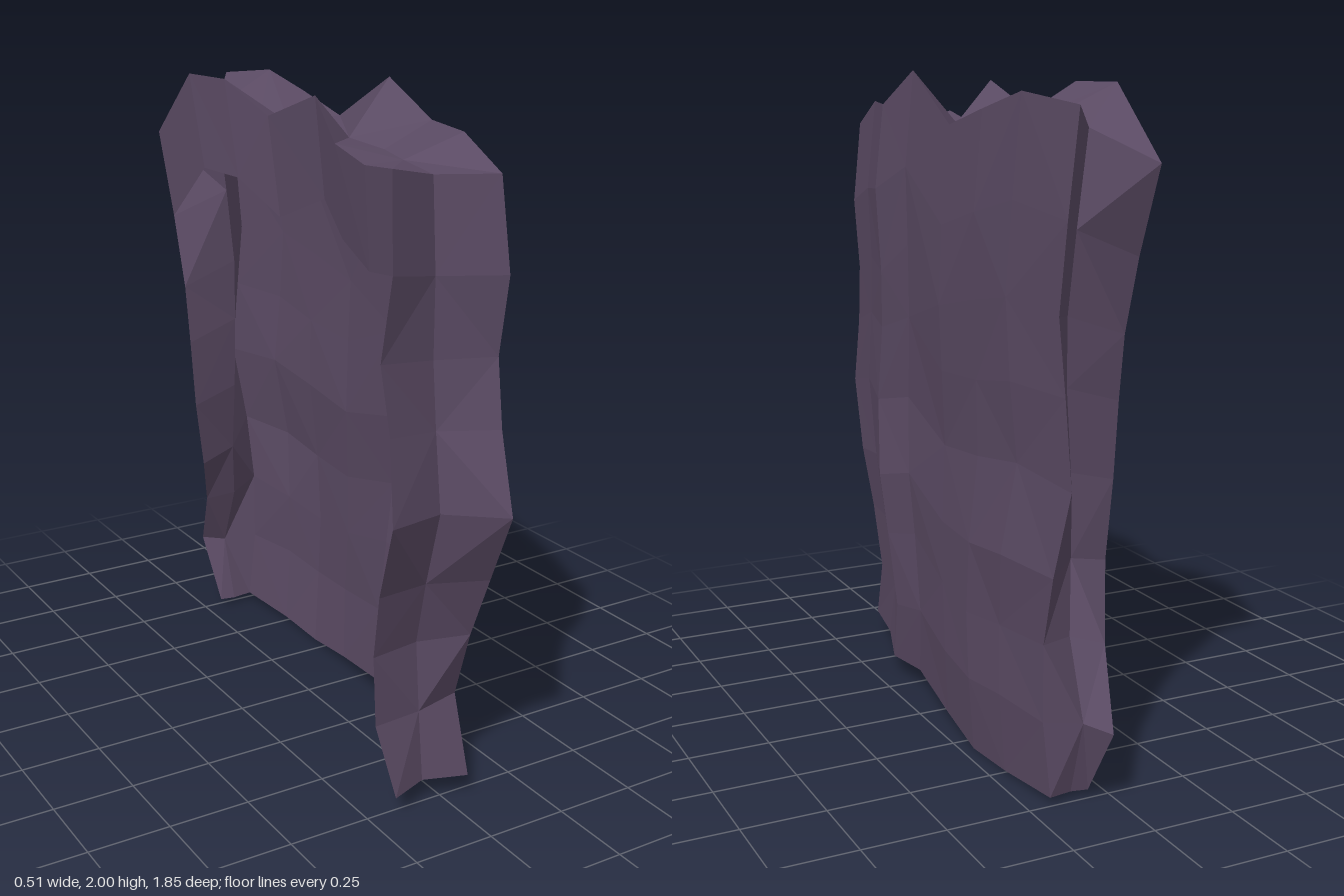
import * as THREE from 'three';

// Stations run from the front end to the back end of the slab.
const stationZ = [0.81, 0.6, 0.33, 0.14, -0.18, -0.42, -0.64, -0.9];
const N = stationZ.length;
const bottomY = [0.065, 0.055, 0.06, 0.065, 0.03, 0, 0.01, 0.02];

// Levels run from the foot to the crest.
const levels = [0, 0.12, 0.24, 0.35, 0.48, 0.61, 0.72, 0.85, 1];
const TOP = levels.length - 1;

// The broad left face and the free right edges: crest height per station,
// end positions per level, and a rule for x.
const broadFace = {
  top: [1.82, 1.9, 1.895, 2.0, 1.85, 1.9, 1.95, 1.92],
  front: [0.79, 0.68, 0.74, 0.81, 0.925, 0.85, 0.81, 0.84, 0.81],
  back: [-0.74, -0.74, -0.75, -0.82, -0.88, -0.86, -0.84, -0.89, -0.92],
  x: (i, k) => [0.11, 0.14, 0.225, 0.205, 0.235, 0.25, 0.245, 0.22][i]
    + [-0.04, -0.015, -0.01, 0, -0.02, -0.01, 0, 0.005, -0.01][k],
};
const finBackX = [0.06, 0.05, 0, -0.08, -0.12, -0.14, -0.15, -0.15, -0.14];
const freeEdge = {
  top: [1.86, 1.84, 1.86, 1.97, 1.88, 1.97, 1.97, 1.76],
  front: [0.79, 0.74, 0.74, 0.78, 0.87, 0.82, 0.8, 0.82, 0.81],
  back: [-0.74, -0.86, -0.72, -0.58, -0.55, -0.54, -0.55, -0.62, -0.74],
  x: (i, k) => i === N - 1 ? finBackX[k]
    : [-0.24, -0.2, -0.14, -0.1, -0.09, -0.12, -0.14][i]
      + [0.06, 0.02, 0.01, 0, -0.02, 0, -0.02, 0, 0][k],
};

// Groove between the two, at both ends and along the crest.
const crestGrooveX = [-0.06, -0.03, 0.03, 0.03, 0.04, 0.04, 0.045, -0.02];
const crestGrooveY = [1.82, 1.83, 1.83, 1.84, 1.84, 1.84, 1.85, 1.85];
const frontGrooveZ = [0.745, 0.72, 0.7, 0.74, 0.8, 0.77, 0.75, 0.75, 0.73];
const backGrooveZ = [-0.73, -0.78, -0.68, -0.61, -0.57, -0.56, -0.56, -0.57, -0.56];
const backGrooveX = [0.11, 0.1, 0.09, 0.05, 0.04, 0.04, 0.04, 0.02, -0.02];

const lerp = THREE.MathUtils.lerp;

// Small repeatable unevenness for the rock faces.
const bump = (i, k) => 0.007 * Math.sin(i * 5.3 + k * 3.7 + i * k * 1.9);

function wallPoint(wall, i, k) {
  const f = (stationZ[0] - stationZ[i]) / (stationZ[0] - stationZ[N - 1]);
  const inner = i > 0 && i < N - 1 && k > 0 && k < TOP;
  return [
    wall.x(i, k) + (inner ? bump(i, k) : 0),
    lerp(bottomY[i], wall.top[i], levels[k]) + (inner ? 2 * bump(k, i) : 0),
    lerp(wall.front[k], wall.back[k], f),
  ];
}

function groovePoint(i, k) {
  const y = lerp(bottomY[i], crestGrooveY[i], levels[k]);
  if (i === 0) return [crestGrooveX[0], y, frontGrooveZ[k]];
  if (i === N - 1) return [backGrooveX[k], y, backGrooveZ[k]];
  return [crestGrooveX[i], y, lerp(frontGrooveZ[k], backGrooveZ[k], i / (N - 1))];
}

// Joins rows of points into a faceted sheet.
function sheet(name, rows, material) {
  const positions = [];
  for (let r = 0; r < rows.length - 1; r++) {
    for (let i = 0; i < rows[r].length - 1; i++) {
      const a = rows[r][i], b = rows[r][i + 1], c = rows[r + 1][i + 1], d = rows[r + 1][i];
      const tris = (r + i) % 2 ? [a, b, d, b, c, d] : [a, b, c, a, c, d];
      for (const p of tris) positions.push(...p);
    }
  }
  const geometry = new THREE.BufferGeometry();
  geometry.setAttribute('position', new THREE.Float32BufferAttribute(positions, 3));
  geometry.computeVertexNormals();
  const mesh = new THREE.Mesh(geometry, material);
  mesh.name = name;
  return mesh;
}

export function createModel() {
  const group = new THREE.Group();
  group.name = 'rockWall';
  const stone = new THREE.MeshStandardMaterial({
    color: 0x5a4a63, flatShading: true, side: THREE.DoubleSide,
  });
  const stations = stationZ.map((_, i) => i);
  const along = (wall, k) => stations.map((i) => wallPoint(wall, i, k));

  // Broad outer face.
  group.add(sheet('broadFace', levels.map((_, k) => along(broadFace, k)), stone));

  // Folded strips closing the front and back ends.
  const frontRows = levels.map((_, k) =>
    [wallPoint(freeEdge, 0, k), groovePoint(0, k), wallPoint(broadFace, 0, k)]);
  const backRows = levels.map((_, k) =>
    [wallPoint(broadFace, N - 1, k), groovePoint(N - 1, k), wallPoint(freeEdge, N - 1, k)]);
  group.add(sheet('frontEnd', frontRows, stone), sheet('backEnd', backRows, stone));

  // Grooved crest, with a lip hanging over the hollow right side.
  const groove = stations.map((i) => groovePoint(i, TOP));
  const crestRows = [along(broadFace, TOP), groove, along(freeEdge, TOP)];
  group.add(sheet('crest', crestRows, stone));
  group.add(sheet('crestLip', [along(freeEdge, TOP), along(freeEdge, TOP - 1)], stone));
  return group;
}
